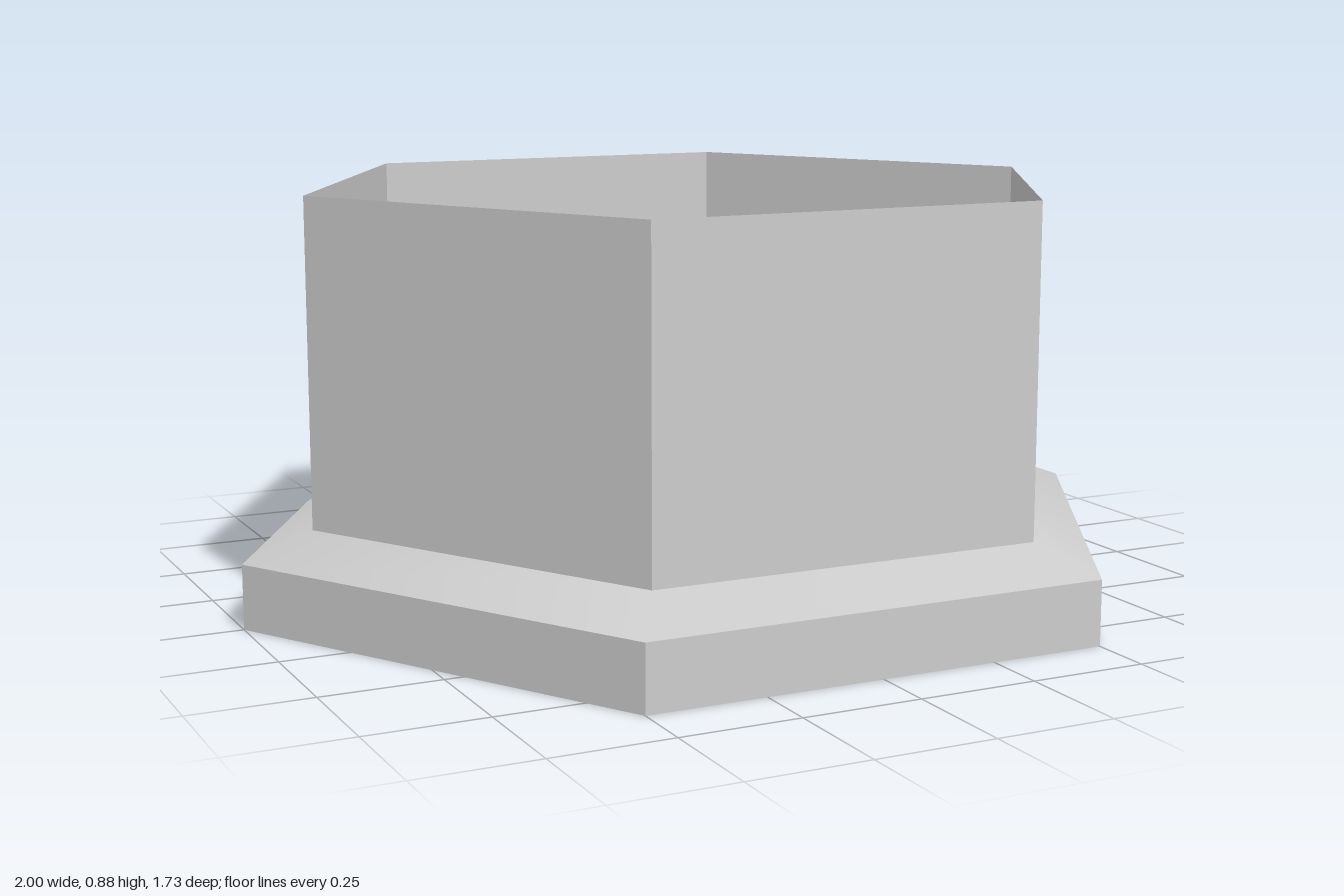
import * as THREE from 'three';

const SIDES = 6;
const OUTER = 1;        // flange corner radius
const INNER = 0.85;     // sleeve corner radius
const RIM_Y = 0.137;    // top of the flange's upright edge
const BEVEL_Y = 0.193;  // where the bevel meets the sleeve
const TOP_Y = 0.882;

const flat = new THREE.MeshStandardMaterial({ color: 0xcccccc, flatShading: true, side: THREE.DoubleSide });
const smooth = new THREE.MeshStandardMaterial({ color: 0xcccccc, side: THREE.DoubleSide });

// Open six-sided band between two heights, with corners on the x axis
function hexBand(name, rBottom, rTop, y0, y1, material) {
  const geometry = new THREE.CylinderGeometry(rTop, rBottom, y1 - y0, SIDES, 1, true, Math.PI / 2);
  geometry.translate(0, (y0 + y1) / 2, 0);
  const mesh = new THREE.Mesh(geometry, material);
  mesh.name = name;
  return mesh;
}

export function createModel() {
  const model = new THREE.Group();
  model.name = 'hexFlangedSleeve';

  // Thin sleeve, open at both ends and running the full height
  model.add(hexBand('sleeve', INNER, INNER, 0, TOP_Y, flat));

  // Flange: upright edge, softly shaded bevel and flat underside
  const flange = new THREE.Group();
  flange.name = 'flange';
  flange.add(hexBand('flangeEdge', OUTER, OUTER, 0, RIM_Y, flat));
  flange.add(hexBand('flangeBevel', OUTER, INNER, RIM_Y, BEVEL_Y, smooth));

  const underside = new THREE.Mesh(
    new THREE.RingGeometry(INNER, OUTER, SIDES).rotateX(Math.PI / 2), flat);
  underside.name = 'flangeUnderside';
  flange.add(underside);

  model.add(flange);
  return model;
}
